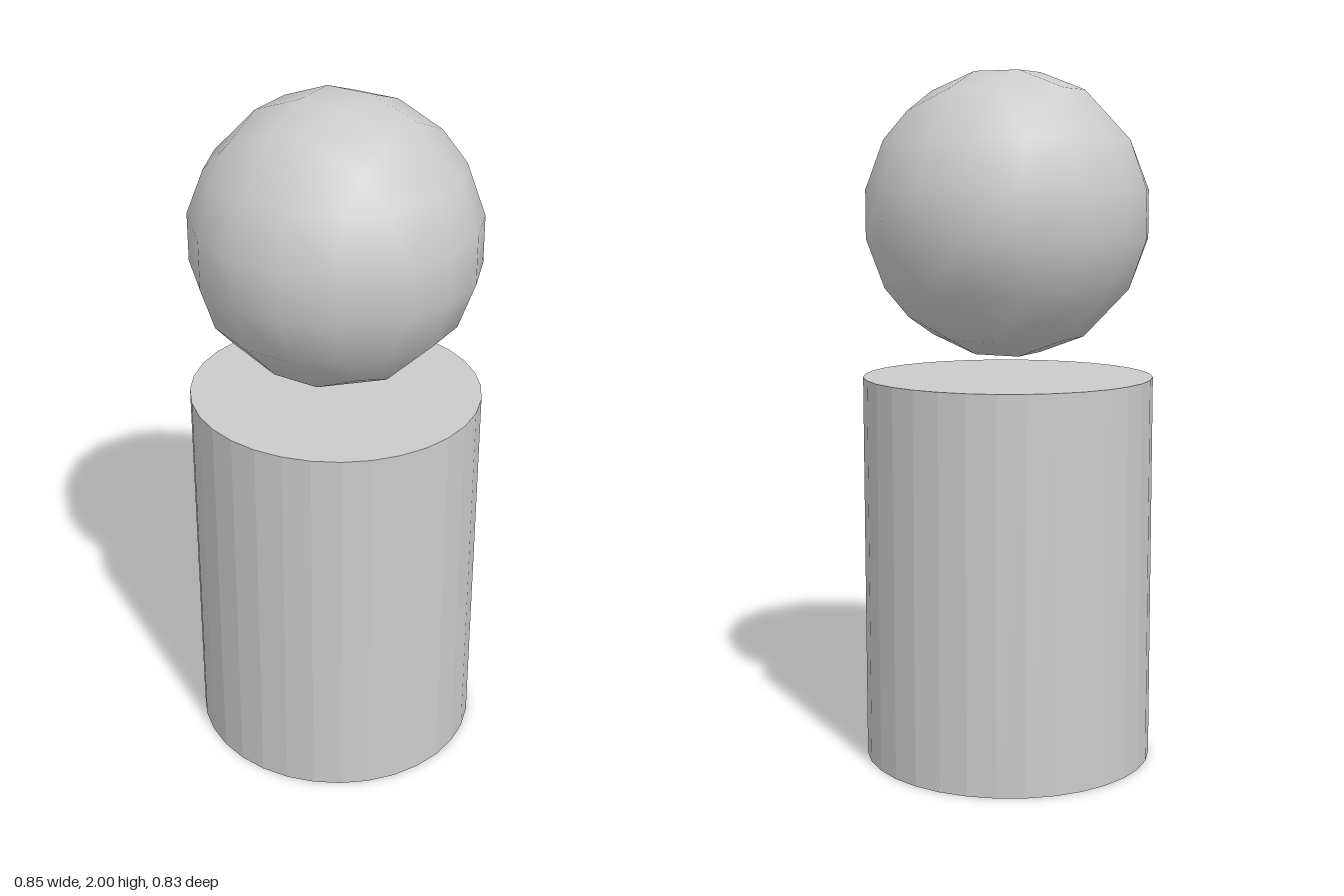
import * as THREE from 'three';
import { ConvexGeometry } from 'three/addons/geometries/ConvexGeometry.js';

// Faceted ball: points where the lines of a cubic lattice cross a sphere
function latticeBall(step) {
  const seeds = [[1, 1, Math.sqrt(33)], [1, 3, 5], [3, 1, 5], [3, 3, Math.sqrt(17)]];
  const points = [];
  for (const [a, b, c] of seeds)
    for (let axis = 0; axis < 3; axis++)
      for (let signs = 0; signs < 8; signs++) {
        const p = [0, 0, 0];
        [a, b, c].forEach((v, i) => {
          p[(axis + i) % 3] = v * step * (signs & (1 << i) ? -1 : 1);
        });
        points.push(new THREE.Vector3(...p));
      }
  const geometry = new ConvexGeometry(points);

  // Radial normals give smooth shading across the facets
  const position = geometry.attributes.position;
  const normal = geometry.attributes.normal;
  const n = new THREE.Vector3();
  for (let i = 0; i < position.count; i++) {
    n.fromBufferAttribute(position, i).normalize();
    normal.setXYZ(i, n.x, n.y, n.z);
  }
  return geometry;
}

export function createModel() {
  const group = new THREE.Group();

  // Flat-sided cylindrical body
  const height = 1.13;
  const body = new THREE.Mesh(
    new THREE.CylinderGeometry(0.423, 0.423, height, 32),
    new THREE.MeshStandardMaterial({ color: 0xcccccc, flatShading: true })
  );
  body.name = 'body';
  body.scale.z = 0.985;
  body.position.y = height / 2;
  group.add(body);

  // Head floating just above the body
  const head = new THREE.Mesh(
    latticeBall(0.07),
    new THREE.MeshStandardMaterial({ color: 0xcccccc })
  );
  head.name = 'head';
  head.position.y = 1.598;
  group.add(head);

  return group;
}
